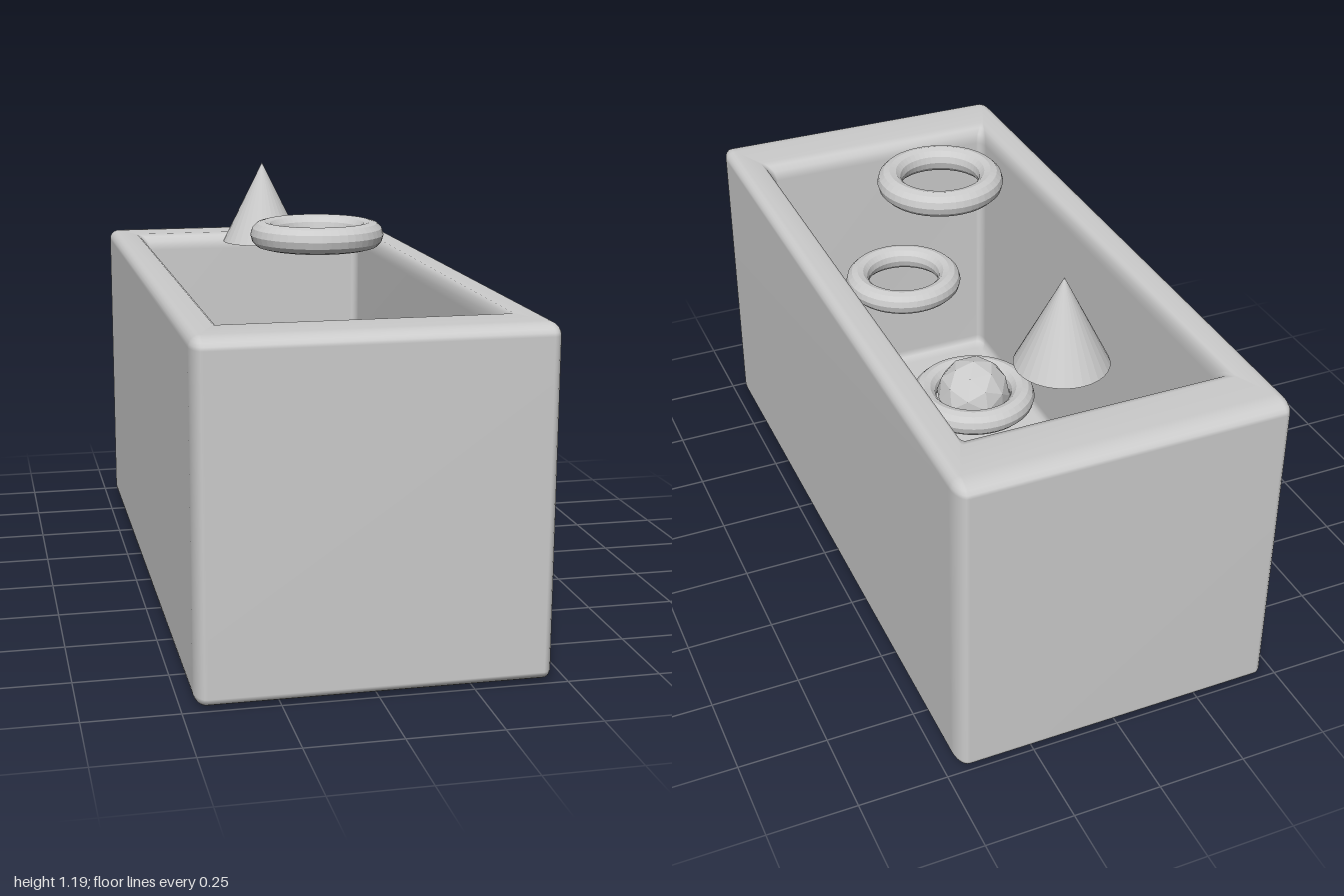
import * as THREE from 'three';

const material = new THREE.MeshStandardMaterial({ color: 0xcccccc });
const flatMaterial = new THREE.MeshStandardMaterial({ color: 0xcccccc, flatShading: true });

// Rounded rectangle outline at one height, always the same number of points
function outline([hx, hz, rx, rz, y]) {
  const points = [];
  const steps = 6;
  for (let corner = 0; corner < 4; corner++) {
    const sx = corner === 0 || corner === 3 ? 1 : -1;
    const sz = corner < 2 ? 1 : -1;
    for (let i = 0; i <= steps; i++) {
      const t = (corner + i / steps) * Math.PI / 2;
      points.push([sx * (hx - rx) + rx * Math.cos(t), y, sz * (hz - rz) + rz * Math.sin(t)]);
    }
  }
  return points;
}

// Skin through a list of outlines
function loft(sections) {
  const loops = sections.map(outline);
  const n = loops[0].length;
  const index = [];
  for (let i = 0; i < loops.length - 1; i++) {
    for (let k = 0; k < n; k++) {
      const a = i * n + k, b = i * n + (k + 1) % n;
      index.push(a, a + n, b, b, a + n, b + n);
    }
  }
  const geometry = new THREE.BufferGeometry();
  geometry.setAttribute('position', new THREE.Float32BufferAttribute(loops.flat(2), 3));
  geometry.setIndex(index);
  geometry.computeVertexNormals();
  return geometry;
}

function tankSections() {
  const hx = 0.465, hz = 1, height = 0.935, bx = 0.03, by = 0.03, bz = 0.06;
  const sections = [[0, 0, 0, 0, 0]];
  const steps = 5;
  // Rounded bottom edge, then rounded top edge
  for (const top of [false, true]) {
    for (let i = 0; i <= steps; i++) {
      const a = (top ? steps - i : i) / steps * Math.PI / 2;
      const s = Math.sin(a), drop = by * (1 - Math.cos(a));
      sections.push([hx - bx * (1 - s), hz - bz * (1 - s), bx * s, bz * s, top ? height - drop : drop]);
    }
  }
  // Rim rolling into the cavity, walls and floor
  sections.push(
    [0.385, 0.83, 0.005, 0.01, 0.935],
    [0.376, 0.808, 0.012, 0.02, 0.928],
    [0.369, 0.793, 0.018, 0.03, 0.912],
    [0.365, 0.785, 0.02, 0.035, 0.885],
    [0.365, 0.785, 0.02, 0.035, 0.13],
    [0.36, 0.775, 0.02, 0.035, 0.11],
    [0.345, 0.75, 0.02, 0.035, 0.1],
    [0, 0, 0, 0, 0.1]
  );
  return sections;
}

export function createModel() {
  const group = new THREE.Group();
  const add = (name, geometry, x, y, z, mat = flatMaterial) => {
    const mesh = new THREE.Mesh(geometry, mat);
    mesh.name = name;
    mesh.position.set(x, y, z);
    group.add(mesh);
  };

  add('tank', loft(tankSections()), 0, 0, 0, material);

  // Cone hovering level with the rim
  add('cone', new THREE.ConeGeometry(0.128, 0.256, 32), 0, 1.063, -0.59);

  // Ball inside the middle ring
  add('ball', new THREE.IcosahedronGeometry(0.112, 1), 0, 0.467, 0);

  // Floating rings
  const ring = new THREE.TorusGeometry(0.149, 0.037, 12, 48).rotateX(Math.PI / 2);
  add('topRing', ring, 0, 1.07, 0.25);
  add('middleRing', ring, 0, 0.46, 0);
  add('frontRing', ring, 0.005, 0.56, 0.57);
  add('backRing', ring, 0.027, 0.46, -0.5);

  return group;
}
